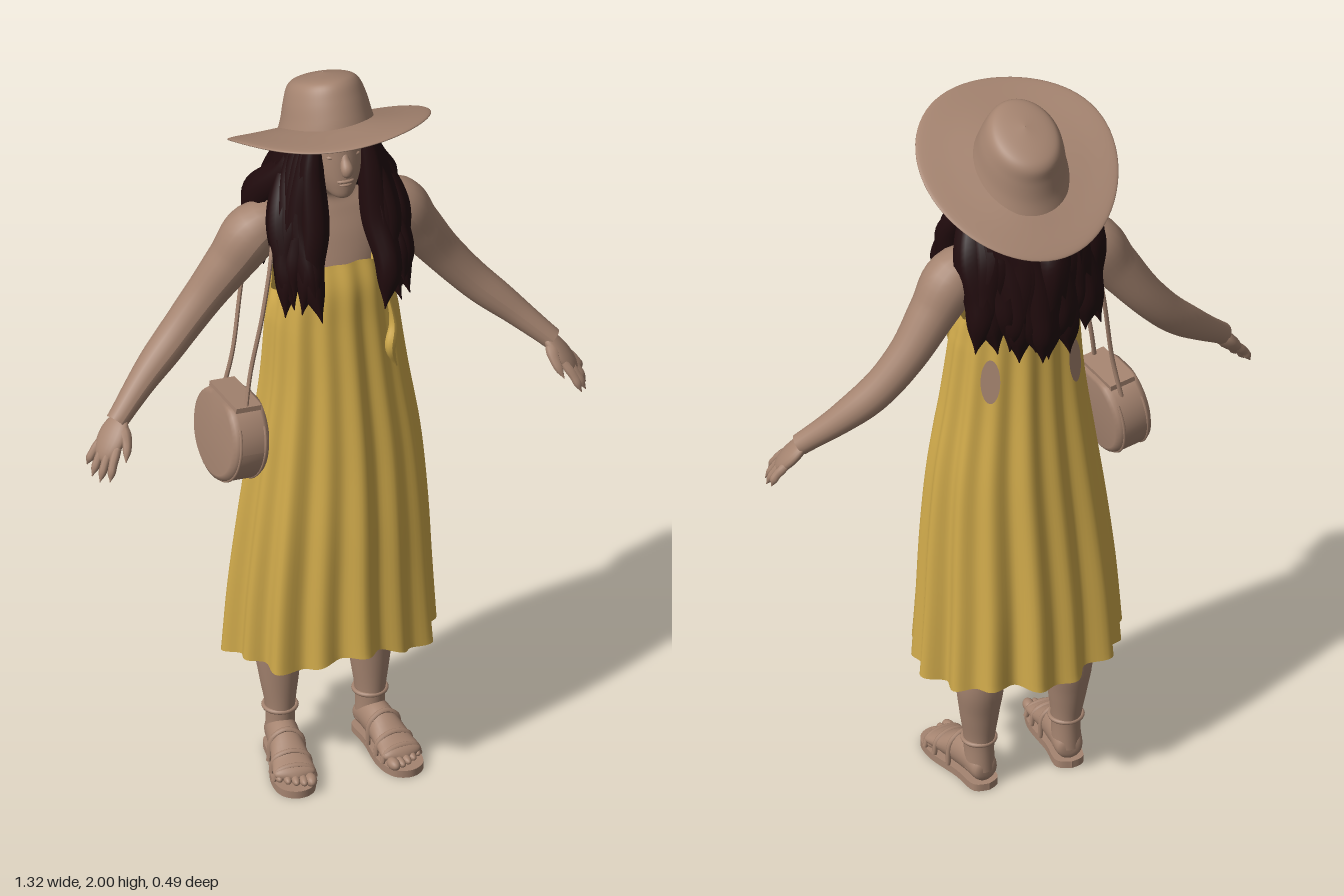
import * as THREE from 'three';

const mat = (name, color, side = THREE.FrontSide) => {
  const m = new THREE.MeshStandardMaterial({ color, side });
  m.name = name;
  return m;
};
const V = (x, y, z) => new THREE.Vector3(x, y, z);

// Smooth value through a list of numbers, t from 0 to 1
function smooth(list, t) {
  const f = t * (list.length - 1), i = Math.min(Math.floor(f), list.length - 2), u = f - i;
  const g = k => list[Math.max(0, Math.min(list.length - 1, k))];
  const [a, b, c, d] = [g(i - 1), g(i), g(i + 1), g(i + 2)];
  return b + 0.5 * u * (c - a + u * (2 * a - 5 * b + 4 * c - d + u * (3 * (b - c) + d - a)));
}

// Skin over level oval rings [y, centreX, centreZ, radiusX, radiusZ], bottom to top
function loft(rings, segs, rows, shape) {
  const pos = [], idx = [];
  for (let i = 0; i <= rows; i++) {
    const t = i / rows;
    const [y, cx, cz, rx, rz] = [0, 1, 2, 3, 4].map(k => smooth(rings.map(r => r[k]), t));
    for (let j = 0; j < segs; j++) {
      const a = j / segs * Math.PI * 2;
      const p = V(cx + Math.sin(a) * rx, y, cz + Math.cos(a) * rz);
      if (shape) shape(p, a, t);
      pos.push(p.x, p.y, p.z);
      if (i < rows) {
        const n = i * segs, k = (j + 1) % segs;
        idx.push(n + j, n + k, n + segs + j, n + k, n + segs + k, n + segs + j);
      }
    }
  }
  const g = new THREE.BufferGeometry();
  g.setAttribute('position', new THREE.Float32BufferAttribute(pos, 3));
  g.setIndex(idx);
  g.computeVertexNormals();
  return g;
}

// Tube along points whose radius follows a list; ridges add strands
function limb(points, radii, rows = 24, segs = 12, ridge = 0) {
  const curve = new THREE.CatmullRomCurve3(points);
  const g = new THREE.TubeGeometry(curve, rows, 1, segs), p = g.attributes.position, v = V(0, 0, 0);
  for (let i = 0; i <= rows; i++) {
    const c = curve.getPointAt(i / rows), r = Math.max(0.0005, smooth(radii, i / rows));
    for (let j = 0; j <= segs; j++) {
      const n = i * (segs + 1) + j;
      v.fromBufferAttribute(p, n).sub(c).multiplyScalar(r * (1 + ridge * (j % 2 ? 1 : -1))).add(c);
      p.setXYZ(n, v.x, v.y, v.z);
    }
  }
  g.computeVertexNormals();
  return g;
}

const ball = (x, y, z, sx, sy, sz) => new THREE.SphereGeometry(1, 20, 14).scale(sx, sy, sz).translate(x, y, z);

export function createModel() {
  const root = new THREE.Group();
  const skin = mat('tan', 0xa58470);
  const yellow = mat('dress yellow', 0xd0aa4b, THREE.DoubleSide);
  const dark = mat('hair brown', 0x200b0d, THREE.DoubleSide);
  const add = (name, geo, m, parent = root) => {
    const mesh = new THREE.Mesh(geo, m);
    mesh.name = name;
    parent.add(mesh);
    return mesh;
  };

  // Torso, neck and head
  add('torso', loft([[1.15, 0, 0, 0.12, 0.09], [1.35, 0, 0, 0.13, 0.1], [1.45, 0, 0, 0.135, 0.1],
    [1.55, 0, -0.012, 0.155, 0.085], [1.62, 0, -0.02, 0.14, 0.065], [1.66, 0, -0.02, 0.07, 0.052],
    [1.70, 0, 0, 0.05, 0.05], [1.78, 0, 0.01, 0.05, 0.052]], 40, 40), skin);
  add('head', loft([[1.698, 0, 0.08, 0.001, 0.001], [1.705, 0, 0.078, 0.028, 0.038], [1.74, 0, 0.05, 0.052, 0.074],
    [1.78, 0, 0.033, 0.066, 0.09], [1.83, 0, 0.02, 0.072, 0.098], [1.87, 0, 0.01, 0.073, 0.1],
    [1.895, 0, 0, 0.06, 0.08], [1.91, 0, 0, 0.001, 0.001]], 40, 36), skin);
  add('nose', limb([V(0, 1.845, 0.102), V(0, 1.815, 0.117), V(0, 1.79, 0.132), V(0, 1.777, 0.116)],
    [0.006, 0.011, 0.016, 0.01]), skin);
  add('upperLip', ball(0, 1.757, 0.118, 0.023, 0.006, 0.01), skin);
  add('lowerLip', ball(0, 1.746, 0.115, 0.02, 0.007, 0.012), skin);
  for (const s of [-1, 1]) {
    add('eye', ball(s * 0.03, 1.822, 0.101, 0.014, 0.006, 0.008), skin);
  }

  // Hat: tilted crown, and a brim that droops at the back
  add('hatCrown', loft([[1.845, 0, -0.025, 0.122, 0.132], [1.88, 0, -0.028, 0.113, 0.122], [1.93, 0, -0.038, 0.103, 0.11],
    [1.972, 0, -0.05, 0.088, 0.098], [1.99, 0, -0.052, 0.062, 0.07], [2.0, 0, -0.052, 0.001, 0.001]], 56, 30,
    p => { p.y += 0.45 * p.z; }), skin);
  add('hatBrim', loft([[0, 0, -0.02, 0.1, 0.11], [0, 0, -0.012, 0.175, 0.172], [0, 0, -0.003, 0.246, 0.234],
    [0.008, 0, -0.003, 0.248, 0.236], [0.01, 0, -0.012, 0.175, 0.172], [0.014, 0, -0.02, 0.1, 0.11]], 72, 30,
    (p, a) => { p.y += 1.848 + 0.48 * p.z - 0.7 * p.z * p.z + 0.02 * Math.hypot(p.x, p.z) * Math.sin(3 * a); }), skin);

  // Hair: a full mass under the hat, then wavy ridged locks parted before and behind the shoulders
  const hair = new THREE.Group();
  hair.name = 'hair';
  root.add(hair);
  add('hairMass', loft([[1.62, 0, -0.085, 0.12, 0.07], [1.7, 0, -0.06, 0.14, 0.095], [1.76, 0, -0.04, 0.142, 0.11],
    [1.82, 0, -0.03, 0.12, 0.105], [1.85, 0, -0.03, 0.1, 0.09]], 60, 20, (p, a) => {
    p.y += 0.45 * p.z;
    p.x *= 1 + 0.02 * Math.sin(30 * a);
  }), dark, hair);
  const lerp = THREE.MathUtils.lerp;
  const lock = (s, ang, mid, end, r, n) => {
    const w = k => 0.01 * Math.sin(k * 2.1 + n * 1.7);
    const c = Math.cos(ang), sn = Math.sin(ang);
    const top = V(s * (0.045 * sn + 0.04), 1.83 + 0.05 * c, -0.01 + 0.095 * c);
    const high = V(s * (0.06 * sn + 0.045), 1.745 + 0.035 * c, -0.012 + 0.115 * c);
    const low = mid.clone().lerp(end, 0.5);
    const pts = [top, high, mid, low, end].map((p, k) => V(p.x + (k > 1 ? w(k) : 0), p.y, p.z + (k > 1 ? w(k + 3) : 0)));
    add('hairLock', limb(pts, [0.018, r * 0.85, r * 1.05, r * 1.1, r, r * 0.8, 0.001], 36, 14, 0.09), dark, hair);
  };
  for (const s of [-1, 1]) {
    for (let k = 0; k < 6; k++) {
      const u = k / 5, e = (k * 3 % 5) * 0.014;
      lock(s, lerp(0.6, 1.5, u), V(s * lerp(0.09, 0.135, u), 1.63, lerp(0.11, 0.06, u)),
        V(s * lerp(0.09, 0.17, u), 1.395 + e, lerp(0.185, 0.13, u)), 0.034, k + s);
    }
    for (let k = 0; k < 8; k++) {
      const u = k / 7, e = (k * 3 % 5) * 0.014;
      lock(s, lerp(1.5, 3.05, u), V(s * lerp(0.145, 0.015, u), 1.63, lerp(-0.075, -0.155, u)),
        V(s * lerp(0.17, 0.015, u), lerp(1.38, 1.325, u) + e, lerp(-0.135, -0.18, u)), 0.042, k + s + 9);
    }
  }

  // Dress: folds deepen towards the hem, sides cut low under the arms
  add('dress', loft([[0.36, 0, 0, 0.264, 0.207], [0.55, 0, 0.004, 0.252, 0.198], [0.75, 0.004, 0.01, 0.236, 0.184],
    [0.95, 0.008, 0.012, 0.214, 0.164], [1.15, 0.005, 0.013, 0.185, 0.142], [1.32, 0, 0.012, 0.168, 0.126],
    [1.43, 0, 0.01, 0.158, 0.117], [1.5, 0, 0, 0.15, 0.103]], 160, 44, (p, a, t) => {
    const f = 0.002 + 0.012 * Math.pow(1 - t, 1.4);
    const d = f * (Math.sin(15 * a + 0.5) + 0.6 * Math.sin(8 * a + 1.3 + t));
    p.x += Math.sin(a) * d;
    p.z += Math.cos(a) * d;
    p.y += Math.pow(1 - t, 6) * (0.035 * Math.pow(Math.max(0, Math.cos(a)), 6) + 0.008 * Math.sin(5 * a + 1));
    p.y -= 0.1 * Math.sin(a) ** 4 * Math.max(0, (p.y - 1.32) / 0.18);
  }), yellow);
  add('dressTie', limb([V(0.115, 1.4, 0.1), V(0.13, 1.3, 0.108), V(0.118, 1.24, 0.122), V(0.135, 1.18, 0.115)],
    [0.004, 0.008, 0.015, 0.004], 20, 8), yellow);
  for (const s of [-1, 1]) {
    add('dressStrap', limb([V(s * 0.085, 1.49, 0.088), V(s * 0.095, 1.58, 0.06), V(s * 0.1, 1.655, -0.02),
      V(s * 0.095, 1.58, -0.09), V(s * 0.085, 1.49, -0.09)], [0.006, 0.006], 24, 8), yellow);
    // Oval opening on each side of the back
    const opening = add('backOpening', new THREE.CircleGeometry(1, 28).scale(0.025, 0.063, 1), skin);
    opening.position.set(s * 0.116, 1.255, -0.098);
    opening.rotation.set(-0.1, s * 2.57, 0, 'YXZ');
  }

  for (const s of [-1, 1]) {
    const side = s > 0 ? 'left' : 'right';

    // Arm
    add(side + 'Arm', limb([V(s * 0.1, 1.59, -0.025), V(s * 0.176, 1.572, -0.032), V(s * 0.245, 1.48, -0.042),
      V(s * 0.32, 1.375, -0.052), V(s * 0.4, 1.28, -0.043), V(s * 0.485, 1.2, -0.014), V(s * 0.578, 1.115, 0.034)],
      [0.042, 0.071, 0.062, 0.053, 0.048, 0.044, 0.035, 0.028], 40, 20), skin);

    // Hand with four fingers and a thumb, hanging along the forearm
    const hand = new THREE.Group();
    hand.name = side + 'Hand';
    hand.position.set(s * 0.562, 1.128, 0.028);
    hand.quaternion.setFromUnitVectors(V(0, -1, 0), V(s * 0.095, -0.135, 0.06).normalize());
    hand.rotateY(-s * 0.45);
    root.add(hand);
    add('palm', ball(0, -0.06, 0, 0.02, 0.065, 0.042), skin, hand);
    for (let k = 0; k < 4; k++) {
      const z = (k - 1.5) * 0.02, len = [0.145, 0.168, 0.175, 0.165][k];
      add('finger', limb([V(0, -0.08, z), V(0, -0.12, z * 1.25), V(-s * 0.008, -len, z * 1.5)],
        [0.011, 0.012, 0.011, 0.01, 0.001], 14, 8), skin, hand);
    }
    add('thumb', limb([V(0, -0.02, 0.015), V(-s * 0.008, -0.06, 0.046), V(-s * 0.012, -0.105, 0.064)],
      [0.012, 0.016, 0.013, 0.01, 0.001], 14, 8), skin, hand);

    // Leg and sandalled foot, turned slightly outwards
    const leg = new THREE.Group();
    leg.name = side + 'Leg';
    leg.position.x = s * 0.125 + 0.004;
    leg.rotation.y = s * 0.13;
    root.add(leg);
    add('shin', loft([[0.05, 0, -0.045, 0.038, 0.043], [0.13, 0, -0.045, 0.037, 0.043], [0.22, s * 0.002, -0.05, 0.05, 0.051],
      [0.32, s * 0.003, -0.055, 0.062, 0.06], [0.46, 0, -0.04, 0.058, 0.06], [0.62, -s * 0.02, -0.01, 0.07, 0.07],
      [0.9, -s * 0.03, 0, 0.08, 0.085]], 28, 32), skin, leg);
    add('foot', loft([[-0.086, 0, -0.05, 0.001, 0.001], [-0.078, 0, -0.053, 0.032, 0.032], [-0.03, 0, -0.066, 0.04, 0.047],
      [0.03, 0, -0.06, 0.043, 0.045], [0.09, 0, -0.046, 0.05, 0.028], [0.135, 0, -0.038, 0.05, 0.018],
      [0.15, 0, -0.036, 0.001, 0.001]], 28, 30).rotateX(Math.PI / 2), skin, leg);
    for (let k = 0; k < 5; k++) {
      const r = k ? 0.011 : 0.015;
      add('toe', ball(s * (-0.036 + k * 0.019), 0.03, 0.155 - k * k * 0.002, r, r, 0.024), skin, leg);
    }
    const outline = new THREE.Shape();
    outline.moveTo(0, -0.095);
    outline.splineThru([[0.036, -0.075], [0.04, 0], [0.055, 0.1], [0.042, 0.165], [0, 0.188],
      [-0.042, 0.165], [-0.055, 0.1], [-0.04, 0], [-0.036, -0.075], [0, -0.095]].map(p => new THREE.Vector2(...p)));
    add('sole', new THREE.ExtrudeGeometry(outline, { depth: 0.02, bevelEnabled: false, curveSegments: 40 })
      .rotateX(Math.PI / 2).translate(0, 0.02, 0), skin, leg);
    for (const [z, w, h] of [[0.125, 0.053, 0.058], [0.085, 0.051, 0.076], [0.03, 0.045, 0.106]]) {
      add('sandalStrap', limb([V(-w, 0.02, z), V(-w * 0.8, h * 0.8, z), V(0, h, z), V(w * 0.8, h * 0.8, z), V(w, 0.02, z)],
        [0.007, 0.007], 20, 8), skin, leg);
    }
    add('ankleStrap', new THREE.TorusGeometry(0.041, 0.006, 8, 28).rotateX(Math.PI / 2)
      .translate(0, 0.135, -0.045), skin, leg);
  }

  // Round shoulder bag, flattened on top, with a two-strand strap
  const bag = new THREE.Group();
  bag.name = 'bag';
  bag.position.set(-0.265, 1.01, 0.015);
  bag.rotation.set(0, 0.12, -0.1);
  root.add(bag);
  const profile = [[0, -0.052], [0.105, -0.052], [0.118, -0.045], [0.122, -0.032], [0.122, 0.032],
    [0.118, 0.045], [0.105, 0.052], [0, 0.052]].map(p => new THREE.Vector2(...p));
  const body = new THREE.LatheGeometry(profile, 44).rotateZ(Math.PI / 2);
  const bp = body.attributes.position;
  for (let i = 0; i < bp.count; i++) bp.setY(i, Math.min(bp.getY(i), 0.1));
  body.computeVertexNormals();
  add('bagBody', body, skin, bag);
  for (const x of [-0.034, 0.034]) {
    add('bagSeam', new THREE.TorusGeometry(0.121, 0.004, 6, 44, Math.PI * 1.36).rotateZ(Math.PI * 0.82)
      .rotateY(Math.PI / 2).translate(x, 0, 0), skin, bag);
  }
  add('bagFlap', new THREE.BoxGeometry(0.07, 0.014, 0.15).translate(0, 0.104, 0), skin, bag);
  for (const z of [-0.075, 0.085]) {
    add('bagStrap', limb([V(-0.255, 1.08, z), V(-0.235, 1.2, z * 0.8), V(-0.205, 1.4, z),
      V(-0.175, 1.57, z * 0.85 - 0.01), V(-0.15, 1.645, -0.025)], [0.006, 0.006], 28, 8), skin);
  }
  return root;
}
